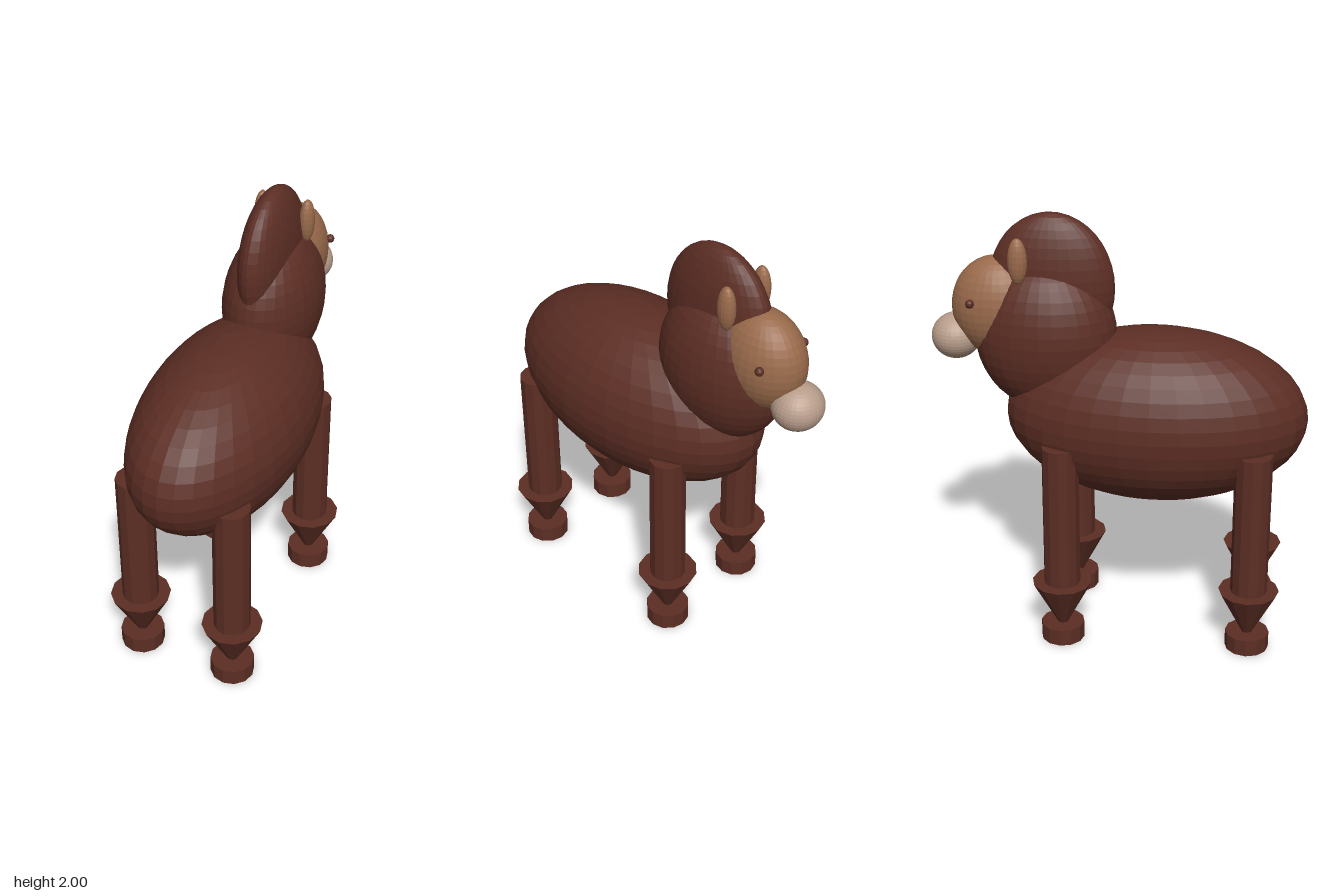
import * as THREE from 'three';

export function createModel() {
  const model = new THREE.Group();
  const material = (name, color) => {
    const m = new THREE.MeshStandardMaterial({ color, flatShading: true });
    m.name = name;
    return m;
  };
  const brown = material('brown', 0x5c2e24);
  const tan = material('tan', 0x996a4b);
  const cream = material('cream', 0xb89d8b);

  const add = (parent, name, geometry, mat, [x, y, z]) => {
    const mesh = new THREE.Mesh(geometry, mat);
    mesh.name = name;
    mesh.position.set(x, y, z);
    parent.add(mesh);
    return mesh;
  };
  const ellipsoid = (name, mat, center, radii, w = 32, h = 20) =>
    add(model, name, new THREE.SphereGeometry(1, w, h).scale(...radii), mat, center);

  // Body, neck and head
  ellipsoid('body', brown, [0, 1.07, 0.17], [0.375, 0.408, 0.693]);
  ellipsoid('neck', brown, [0, 1.43, -0.335], [0.22, 0.355, 0.325]);
  ellipsoid('mane', brown, [0, 1.66, -0.305], [0.115, 0.34, 0.285]);
  ellipsoid('head', tan, [0, 1.56, -0.55], [0.155, 0.235, 0.212]);
  ellipsoid('muzzle', cream, [0, 1.41, -0.75], [0.117, 0.106, 0.113]);

  // Paired parts
  for (const side of [-1, 1]) {
    const label = side > 0 ? 'left' : 'right';
    ellipsoid(label + 'Ear', tan, [side * 0.11, 1.803, -0.437], [0.035, 0.105, 0.044], 16, 12);
    ellipsoid(label + 'Eye', brown, [side * 0.143, 1.61, -0.65], [0.02, 0.02, 0.02], 12, 8);

    for (const [end, x, z] of [['Front', 0.25, -0.24], ['Rear', 0.235, 0.63]]) {
      const leg = new THREE.Group();
      leg.name = label + end + 'Leg';
      leg.position.set(side * x, 0, z);
      model.add(leg);
      add(leg, 'shank', new THREE.CylinderGeometry(0.085, 0.085, 0.69, 12), brown, [0, 0.645, 0]);
      // Fetlock: a cone pointing down into the hoof
      add(leg, 'fetlock', new THREE.CylinderGeometry(0.14, 0.02, 0.23, 12), brown, [0, 0.185, 0]);
      add(leg, 'hoof', new THREE.CylinderGeometry(0.102, 0.102, 0.08, 12), brown, [0, 0.04, 0]);
    }
  }
  return model;
}
